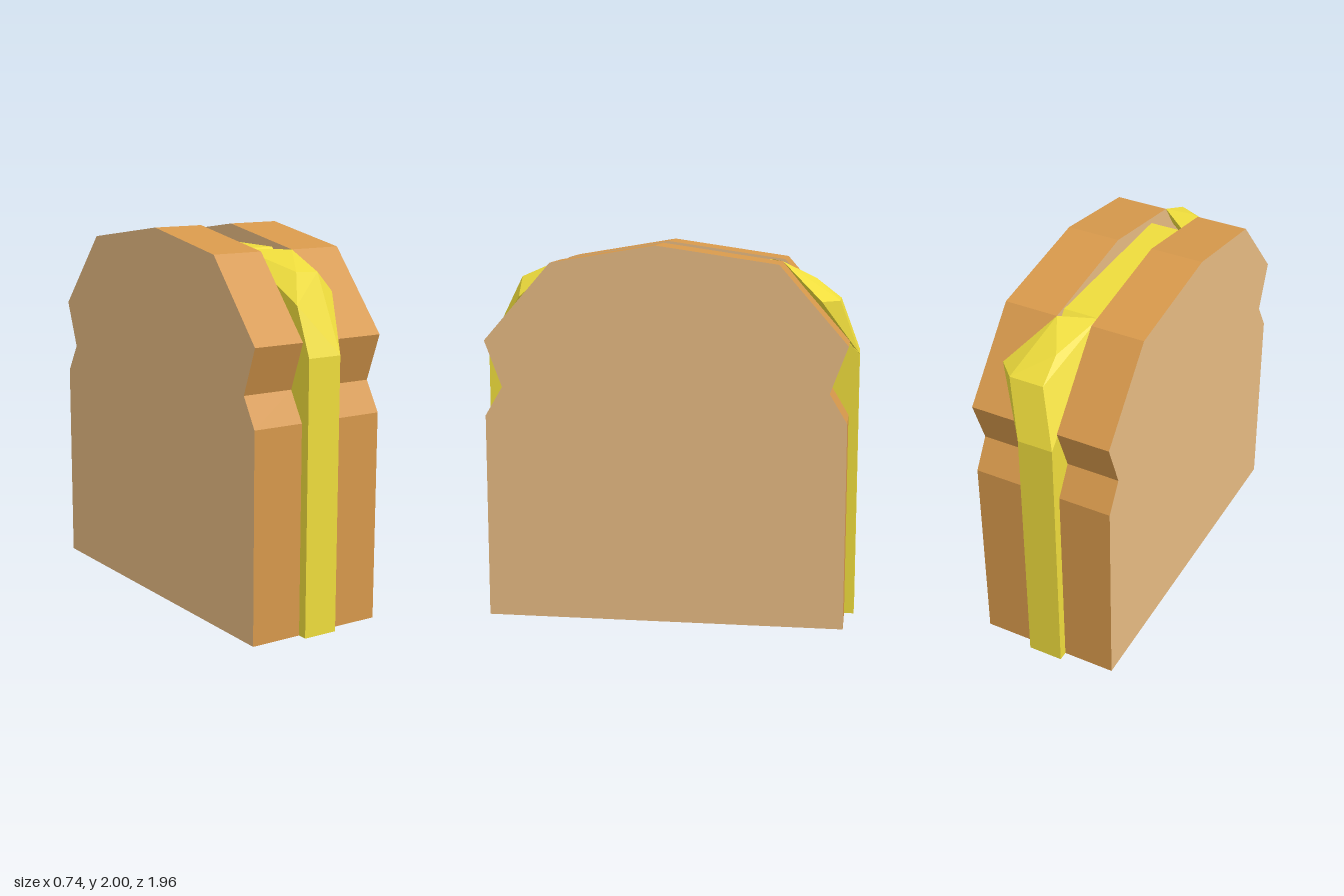
import * as THREE from 'three';
import { ConvexGeometry } from 'three/addons/geometries/ConvexGeometry.js';

const paint = (color) => new THREE.MeshStandardMaterial({ color, flatShading: true });
const crumb = paint(0xe6ba82);
const crust = paint(0xd6984b);
const cheese = paint(0xeedc3c);

// Extrudes a side outline of [z, y] points from x0 to x1.
function slab(name, outline, x0, x1, material) {
  const shape = new THREE.Shape(outline.map(([z, y]) => new THREE.Vector2(-z, y)));
  const geometry = new THREE.ExtrudeGeometry(shape, { depth: x1 - x0, bevelEnabled: false });
  geometry.rotateY(Math.PI / 2).translate(x0, 0, 0);
  const mesh = new THREE.Mesh(geometry, material);
  mesh.name = name;
  return mesh;
}

// Faceted lump spanning the given [x, y, z] corners.
function fold(name, corners) {
  const mesh = new THREE.Mesh(new ConvexGeometry(corners.map((c) => new THREE.Vector3(...c))), cheese);
  mesh.name = name;
  return mesh;
}

export function createModel() {
  const group = new THREE.Group();
  group.name = 'sandwich';
  const L = -0.095, R = 0.09;

  // Two bread slices: half outline mirrored front to back around the peak
  const half = [[0.93, 0.05], [0.93, 1.12], [0.84, 1.27], [0.93, 1.51], [0.58, 1.91]];
  const loaf = [...half, [0.04, 2], ...half.map(([z, y]) => [-z, y]).reverse()];
  group.add(slab('rightBreadSlice', loaf, -0.37, L, [crumb, crust]));
  group.add(slab('leftBreadSlice', loaf, R, 0.37, [crumb, crust]));

  // Cheese slice between them
  const slice = [[0.98, 0.05], [0.98, 1.44], [0.41, 1.91], [-0.51, 1.91], [-0.98, 1.44], [-0.98, 0.05]];
  group.add(slab('cheeseSlice', slice, L, R, cheese));

  // Drooping upper corners of the cheese
  group.add(fold('frontCheeseFold', [
    [L, 1.91, 0.41], [R, 1.91, 0.58], [0, 1.82, 0.74], [R, 1.82, 0.79],
    [0.18, 1.72, 0.79], [L, 1.68, 0.88], [L, 1.44, 0.98], [R, 1.44, 0.98],
  ]));
  group.add(fold('backCheeseFold', [
    [L, 1.91, -0.51], [R, 1.91, -0.58], [0, 1.82, -0.75], [0.27, 1.72, -0.79],
    [0.18, 1.72, -0.88], [0, 1.72, -0.88], [L, 1.44, -0.98], [R, 1.44, -0.98],
  ]));

  // Small drip of cheese under the bread
  group.add(fold('cheeseDrip', [
    [R, 0.05, 0.49], [R, 0.05, 0], [L, 0.05, 0.25], [0.2, 0.04, 0.25], [0.14, 0, 0.25],
  ]));
  return group;
}
